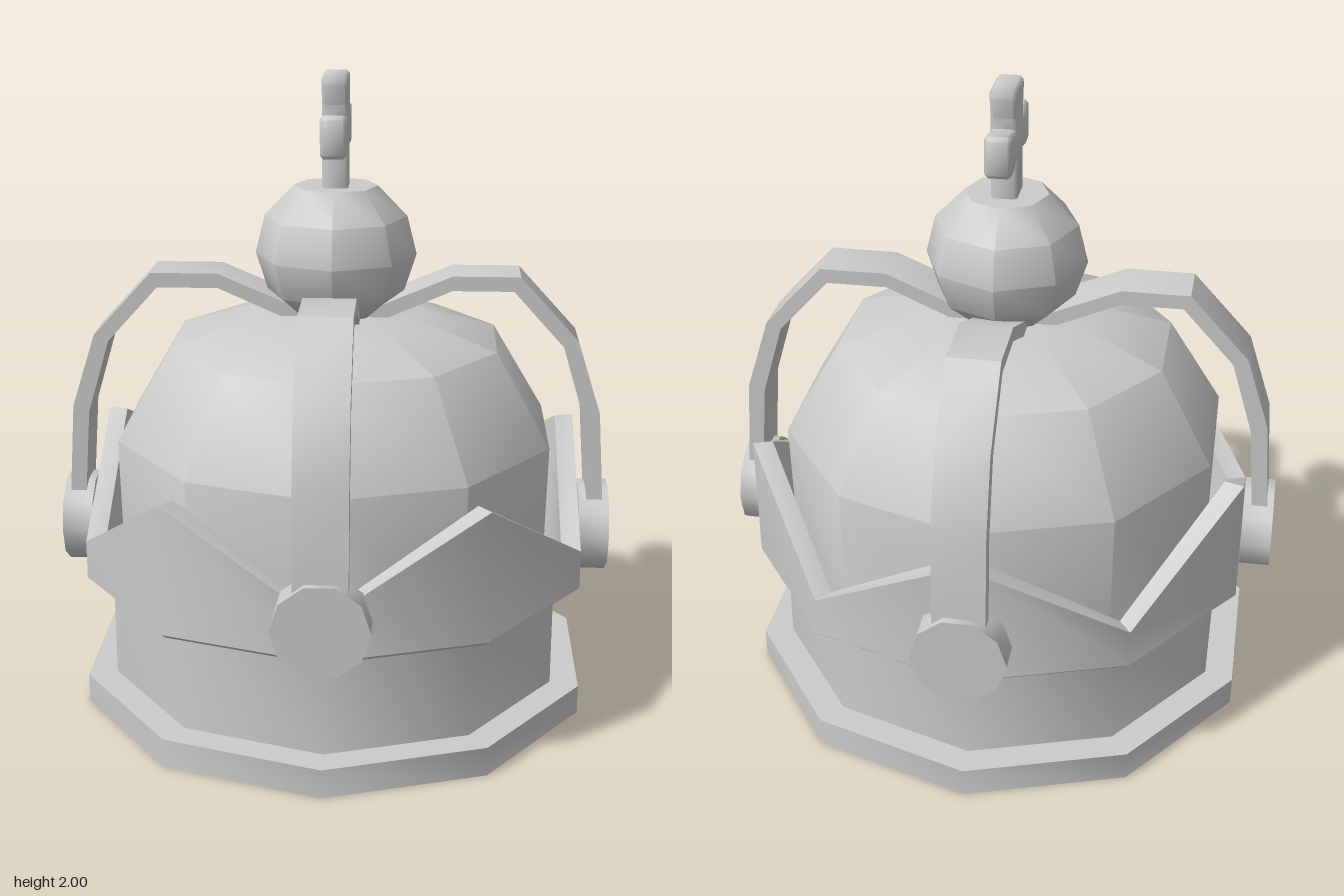
import * as THREE from 'three';
import { toCreasedNormals } from 'three/addons/utils/BufferGeometryUtils.js';

const CREASE = 0.8;
const material = new THREE.MeshStandardMaterial({ color: 0xcccccc });
const points = (list) => list.map(([x, y]) => new THREE.Vector2(x, y));

function part(name, geometry, parent) {
  const mesh = new THREE.Mesh(toCreasedNormals(geometry, CREASE), material);
  mesh.name = name;
  parent.add(mesh);
  return mesh;
}

const lathe = (profile, sides = 10) => new THREE.LatheGeometry(points(profile), sides);

// Closed outline in x/y, given depth centred on z
function slab(outline, depth, bevel = 0) {
  const geometry = new THREE.ExtrudeGeometry(new THREE.Shape(points(outline)), {
    depth: depth - 2 * bevel, bevelEnabled: bevel > 0, bevelSize: bevel,
    bevelThickness: bevel, bevelOffset: -bevel, bevelSegments: 1,
  });
  return geometry.translate(0, 0, -depth / 2 + bevel);
}

export function createModel() {
  const crown = new THREE.Group();
  crown.name = 'crown';

  // Ten-sided body, hollow underneath
  part('baseRing', lathe([[0.62, 0], [0.828, 0], [0.828, 0.092], [0.73, 0.092]]), crown);
  part('wall', lathe([[0.735, 0.09], [0.735, 0.43], [0.69, 0.43]]), crown);
  part('dome', lathe([[0.695, 0.42], [0.705, 0.88], [0.53, 1.17], [0.255, 1.255], [0, 1.255]]), crown);
  part('lining', lathe([[0, 1.15], [0.25, 1.15], [0.46, 1.07], [0.62, 0.8], [0.62, 0]]), crown);

  // Zigzag band: top corners alternate between valley and peak
  const profile = [[0.73, 0.42], [0.805, 0.42], [0.818, 0.432], [0.818, 0.7], [0.755, 0.7], [0.73, 0.42]];
  const band = lathe(profile);
  const position = band.attributes.position;
  for (let i = 0; i < position.count; i++) {
    if (position.getY(i) < 0.6) continue;
    const station = Math.floor(i / profile.length);
    position.setY(i, station % 2 ? 0.84 : 0.555);
  }
  part('zigzagBand', band, crown);

  // Four arches, each with a round stud at its foot
  const outer = [[0.86, 0.58], [0.855, 0.66], [0.835, 0.95], [0.76, 1.185], [0.575, 1.388], [0.365, 1.388], [0.1, 1.275]];
  const inner = [[0.1, 1.225], [0.365, 1.342], [0.555, 1.342], [0.715, 1.165], [0.785, 0.93], [0.805, 0.66], [0.81, 0.58]];
  for (let i = 0; i < 4; i++) {
    const side = new THREE.Group();
    side.name = 'archAndStud' + (i + 1);
    side.rotation.y = i * Math.PI / 2;
    part('arch', slab([...outer, ...inner], 0.16), side);
    const stud = new THREE.CylinderGeometry(0.145, 0.145, 0.095, 10);
    stud.rotateZ(-Math.PI / 2);
    part('stud', stud.rotateX(0), side).position.set(0.8275, 0.55, 0);
    crown.add(side);
  }

  // Eight-sided orb with flattened poles
  part('orb', lathe([[0, 1.25], [0.13, 1.25], [0.215, 1.325], [0.252, 1.44],
    [0.222, 1.56], [0.13, 1.655], [0, 1.655]], 8), crown);

  // Cross with flared arms, standing across z
  const half = [[0.058, 1.64], [0.053, 1.775], [0.085, 1.775], [0.1, 1.762], [0.16, 1.762], [0.172, 1.775],
    [0.172, 1.88], [0.16, 1.892], [0.1, 1.885], [0.085, 1.877], [0.06, 1.877], [0.06, 1.91],
    [0.077, 1.975], [0.068, 2]];
  const mirrored = half.map(([x, y]) => [-x, y]).reverse();
  part('cross', slab([...half, ...mirrored], 0.08, 0.01), crown).rotation.y = Math.PI / 2;

  return crown;
}
